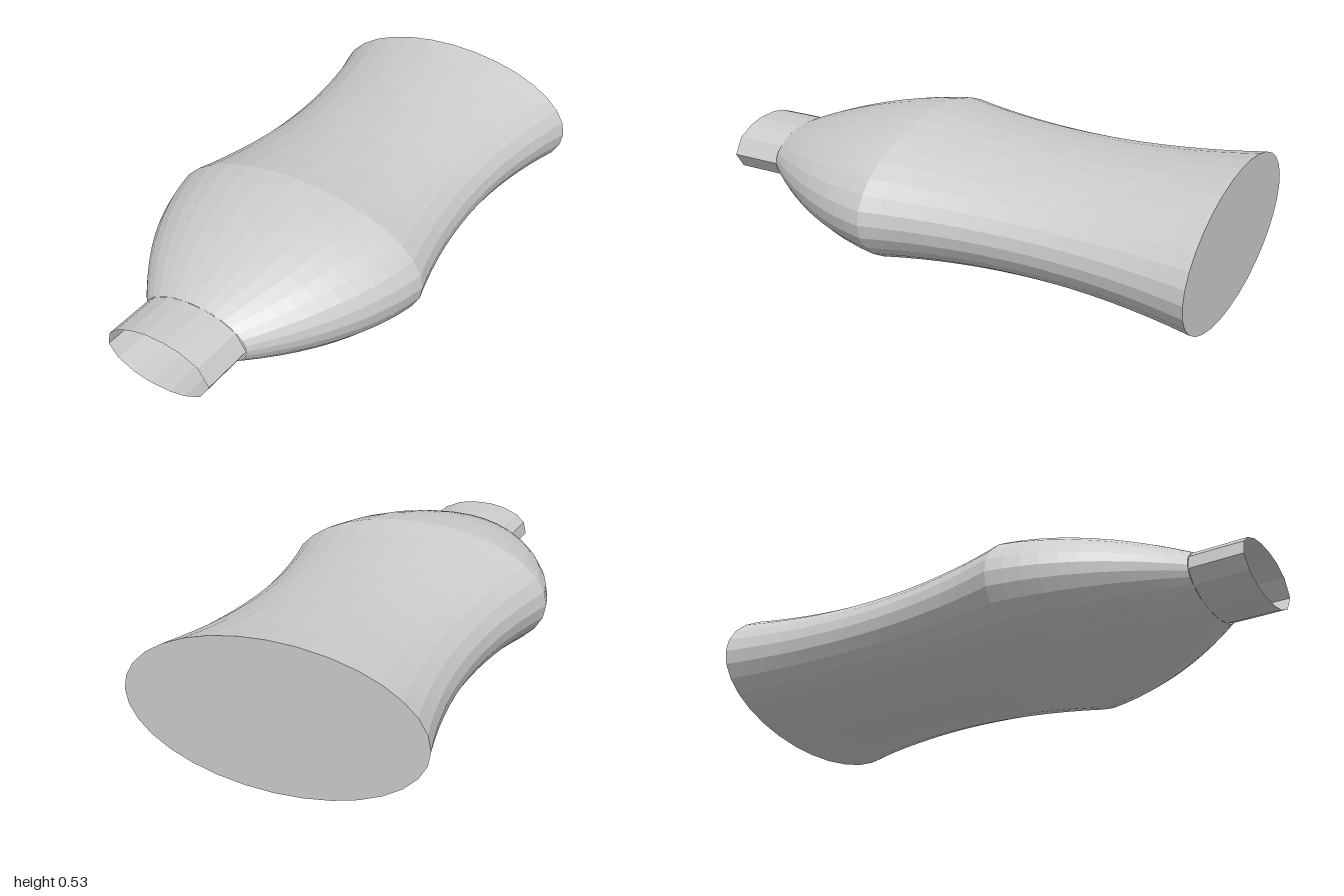
import * as THREE from 'three';

const CENTRE_Y = 0.266;

export function createModel() {
  const group = new THREE.Group();
  group.name = 'flattenedBottle';
  const material = new THREE.MeshStandardMaterial({
    color: 0xcccccc, flatShading: true, side: THREE.DoubleSide,
  });

  const add = (name, geometry) => {
    const mesh = new THREE.Mesh(geometry, material);
    mesh.name = name;
    group.add(mesh);
  };

  // Lay an upright round form along z and flatten it to half height
  const layDown = (geometry) =>
    geometry.rotateX(Math.PI / 2).scale(1, 0.5, 1).translate(0, CENTRE_Y, 0);

  // Base and waisted body: [radius, z]
  const body = [new THREE.Vector2(0, -1)];
  for (let i = 0; i <= 16; i++) {
    const t = i / 8 - 1;
    body.push(new THREE.Vector2(0.448 + 0.084 * t * t, -0.4 + 0.6 * t));
  }
  add('body', layDown(new THREE.LatheGeometry(body, 32)));

  // Rounded shoulder narrowing to the neck
  const shoulder = new THREE.QuadraticBezierCurve(
    new THREE.Vector2(0.532, 0.2),
    new THREE.Vector2(0.475, 0.5),
    new THREE.Vector2(0.209, 0.8),
  ).getPoints(10);
  add('shoulder', layDown(new THREE.LatheGeometry(shoulder, 32)));

  // Open neck with uneven facets, angles in degrees from +x
  const angles = [0, 36, 61, 79, 101, 119, 140, 160, 188, 215, 240, 259, 281, 300, 324];
  const neck = new THREE.CylinderGeometry(1, 1, 0.2, angles.length, 1, true).rotateX(Math.PI / 2);
  const pos = neck.attributes.position;
  for (let i = 0; i < pos.count; i++) {
    const a = THREE.MathUtils.degToRad(angles[i % (angles.length + 1) % angles.length]);
    pos.setXY(i, 0.209 * Math.cos(a), CENTRE_Y + 0.1045 * Math.sin(a));
  }
  neck.translate(0, 0, 0.9);
  neck.computeVertexNormals();
  add('neck', neck);

  return group;
}
